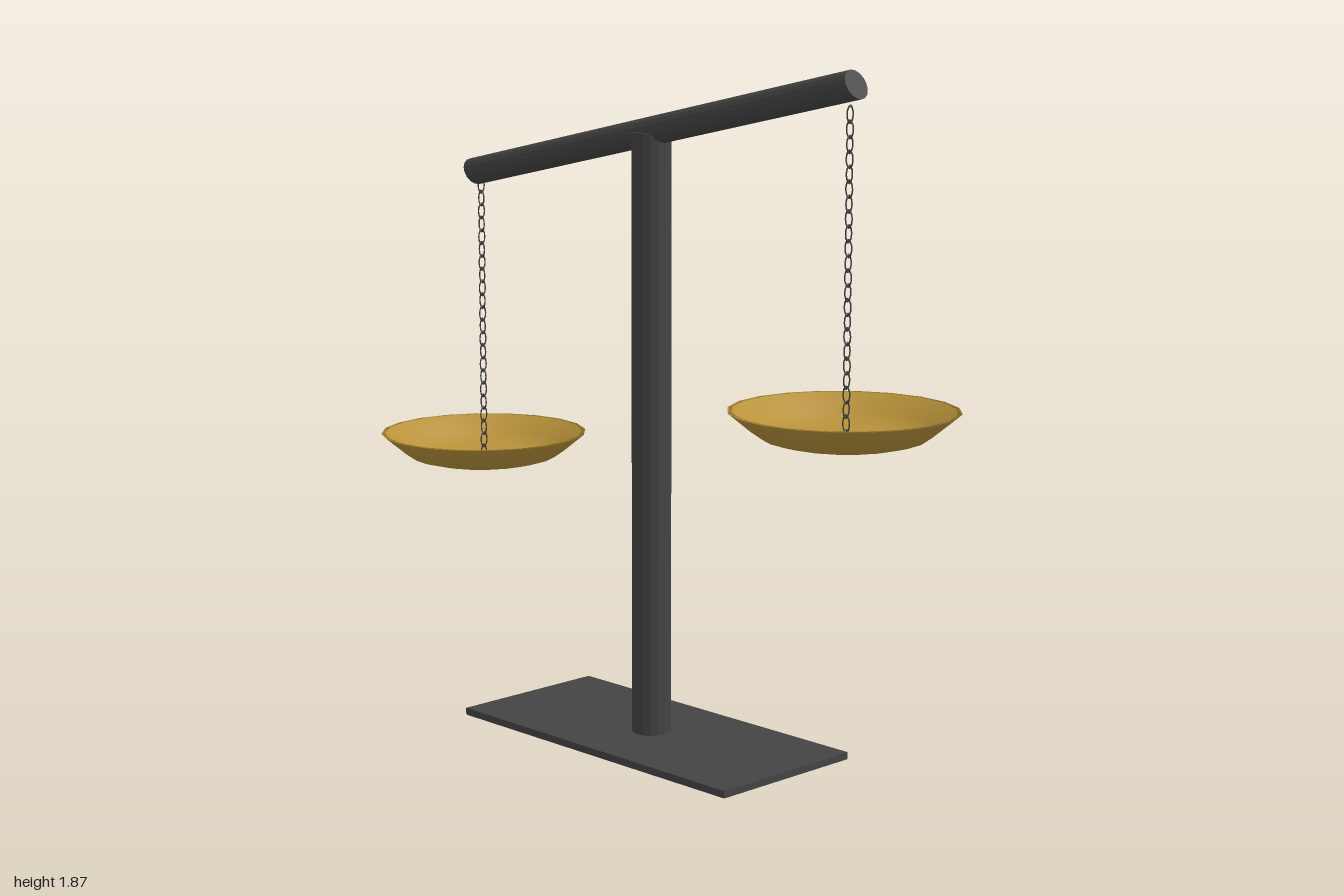
import * as THREE from 'three';

const iron = new THREE.MeshStandardMaterial({ color: 0x444444, flatShading: true });
const brass = new THREE.MeshStandardMaterial({ color: 0xb8923a, side: THREE.DoubleSide });

function addMesh(parent, name, geometry, material, x = 0, y = 0, z = 0) {
  const mesh = new THREE.Mesh(geometry, material);
  mesh.name = name;
  mesh.position.set(x, y, z);
  parent.add(mesh);
  return mesh;
}

// Hanging chain of oval links, each turned a quarter against the last
function makeChain(name, topY, count, z) {
  const chain = new THREE.Group();
  chain.name = name;
  const link = new THREE.TorusGeometry(0.0115, 0.002, 5, 12);
  link.scale(1, 1.85, 1);
  for (let i = 0; i < count; i++) {
    const mesh = addMesh(chain, 'chainLink', link, iron, 0, topY - i * 0.0371, z);
    if (i % 2 === 1) mesh.rotation.y = Math.PI / 2;
  }
  return chain;
}

// Shallow dish with a thin wall, outside profile first and then the inside
function makePan() {
  const profile = [
    [0, 0], [0.1, 0.001], [0.17, 0.006], [0.21, 0.017], [0.24, 0.038], [0.298, 0.086],
    [0.284, 0.086], [0.232, 0.044], [0.2, 0.023], [0.16, 0.013], [0.1, 0.008], [0, 0.007],
  ].map(([r, y]) => new THREE.Vector2(r, y));
  return new THREE.LatheGeometry(profile, 20);
}

export function createModel() {
  const model = new THREE.Group();
  model.name = 'balanceScale';

  // Base plate and post
  addMesh(model, 'base', new THREE.BoxGeometry(0.476, 0.02, 1.035), iron, 0.01, 0.01, -0.008);
  addMesh(model, 'post', new THREE.CylinderGeometry(0.054, 0.054, 1.67, 16), iron, 0.004, 0.845, -0.002);

  // Tilted beam with slanted end cuts
  const beam = new THREE.CylinderGeometry(1, 1, 1, 16);
  beam.applyMatrix4(new THREE.Matrix4().makeBasis(
    new THREE.Vector3(0.038, 0, 0),
    new THREE.Vector3(0, 0.308, 1.46),
    new THREE.Vector3(0, -0.036, 0.018),
  ));
  addMesh(model, 'beam', beam, iron, 0.002, 1.682, -0.003);

  // Pans on their chains
  const pan = makePan();
  addMesh(model, 'frontPan', pan, brass, -0.001, 0.93, 0.704);
  addMesh(model, 'backPan', pan, brass, -0.001, 0.685, -0.702);
  model.add(makeChain('frontChain', 1.762, 23, 0.71));
  model.add(makeChain('backChain', 1.49, 22, -0.702));

  return model;
}
